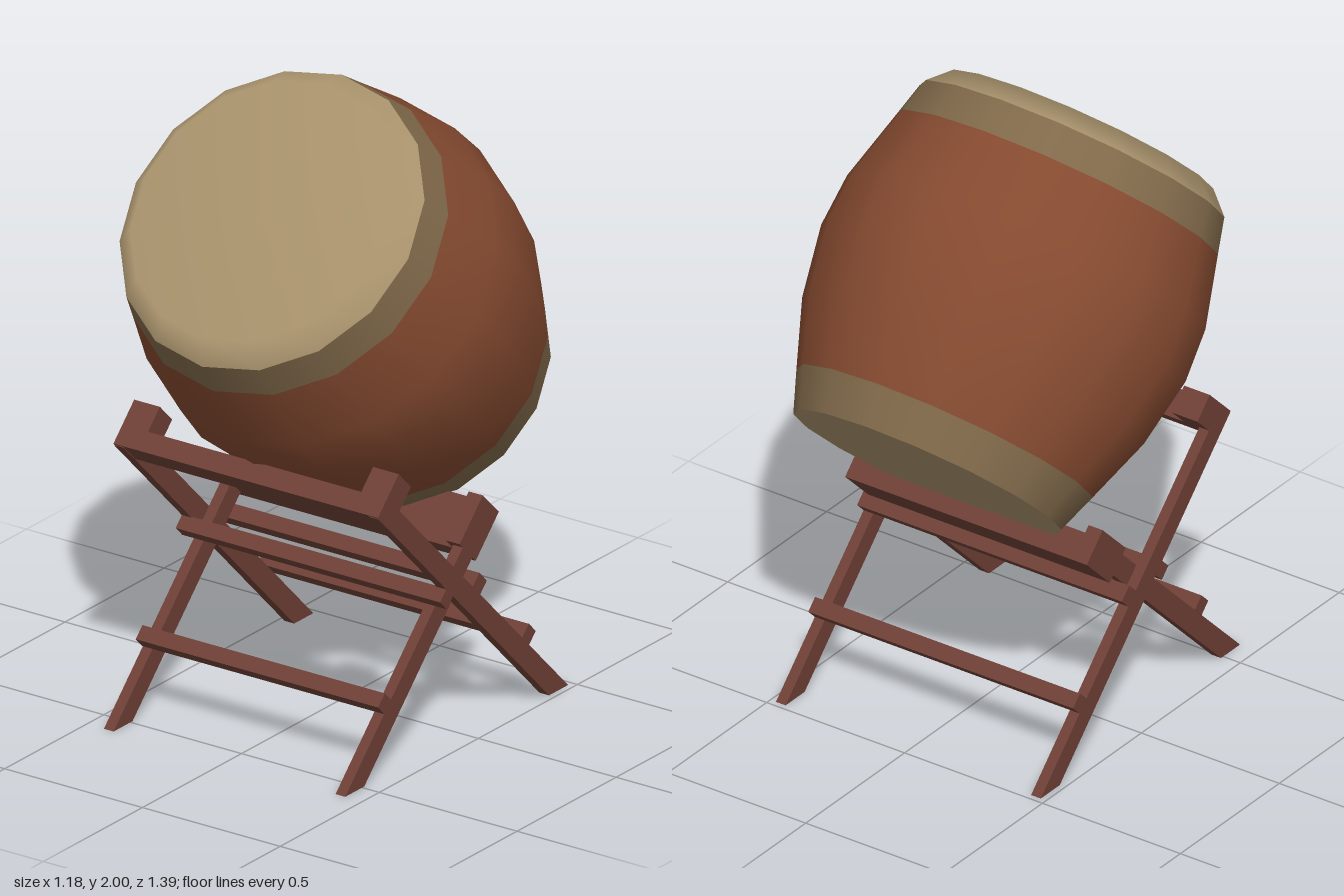
import * as THREE from 'three';

const material = (color) => new THREE.MeshStandardMaterial({ color });

export function createModel() {
  const model = new THREE.Group();
  const shell = material(0x854a30), skin = material(0xa8926c);
  const band = material(0x80694a), wood = material(0x6e3f36);

  // Tilted barrel drum: profiles are [radius, position along the axis]
  const drum = new THREE.Group();
  drum.name = 'drum';
  drum.position.set(0, 1.3, 0);
  drum.rotation.x = 0.775;
  model.add(drum);
  const turn = (name, profile, mat) => {
    const points = profile.map(([r, h]) => new THREE.Vector2(r, h));
    const mesh = new THREE.Mesh(new THREE.LatheGeometry(points, 16), mat);
    mesh.name = name;
    drum.add(mesh);
  };
  turn('backHead', [[0, -0.55], [0.434, -0.55]], skin);
  turn('backBand', [[0.434, -0.55], [0.48, -0.425]], band);
  turn('drumBody', [[0.48, -0.425], [0.553, -0.22], [0.59, 0], [0.58, 0.165], [0.522, 0.385]], shell);
  turn('frontBand', [[0.522, 0.385], [0.494, 0.494]], band);
  turn('frontHead', [[0.494, 0.494], [0.43, 0.558], [0, 0.558]], skin);

  // Folding stand: each frame is laid out along its leg (d) and across it (n);
  // lean = 1 leans towards the front, lean = -1 towards the back
  const addFrame = (name, lean, spec) => {
    const frame = new THREE.Group();
    frame.name = name;
    model.add(frame);
    const prism = (part, corners, x0, x1) => {
      const shape = new THREE.Shape(corners.map(([d, n]) =>
        new THREE.Vector2(lean * (d - n) * Math.SQRT1_2, (d + n) * Math.SQRT1_2)));
      const geometry = new THREE.ExtrudeGeometry(shape, { depth: x1 - x0, bevelEnabled: false });
      geometry.rotateY(-Math.PI / 2);
      geometry.translate(x1, 0, 0);
      const mesh = new THREE.Mesh(geometry, wood);
      mesh.name = part;
      frame.add(mesh);
    };
    const rect = (d0, d1, n0, n1) => [[d0, n0], [d1, n0], [d1, n1], [d0, n1]];
    const { leg, beam, post, bars } = spec;

    // Legs with feet cut level with the floor, and raised posts at the beam ends
    for (const side of [-1, 1]) {
      const across = (a, b) => (side > 0 ? [a, b] : [-b, -a]);
      prism('leg', [[-leg.n0, leg.n0], [leg.top, leg.n0], [leg.top, leg.n1], [-leg.n1, leg.n1]],
        ...across(leg.x0, leg.x1));
      prism('beamPost', rect(beam.d0, beam.d1, beam.n0, post), ...across(0.387, leg.x1));
    }
    // Drum rest and the crossbars below it
    prism('restBeam', rect(beam.d0, beam.d1, beam.n0, beam.n1), -0.387, 0.387);
    for (const [d0, d1, x] of bars) {
      prism('crossbar', rect(d0, d1, leg.n1, leg.n1 + 0.047), -x, x);
    }
  };

  addFrame('frontLeaningFrame', 1, {
    leg: { n0: 0.272, n1: 0.34, top: 0.945, x0: 0.445, x1: 0.48 },
    beam: { d0: 0.863, d1: 0.951, n0: 0.274, n1: 0.338 },
    post: 0.422,
    bars: [[-0.062, -0.013, 0.48], [0.287, 0.34, 0.48]],
  });
  addFrame('backLeaningFrame', -1, {
    leg: { n0: 0.346, n1: 0.414, top: 0.5, x0: 0.403, x1: 0.438 },
    beam: { d0: 0.425, d1: 0.59, n0: 0.322, n1: 0.386 },
    post: 0.436,
    bars: [[-0.136, -0.088, 0.44], [0.228, 0.275, 0.48]],
  });

  return model;
}
